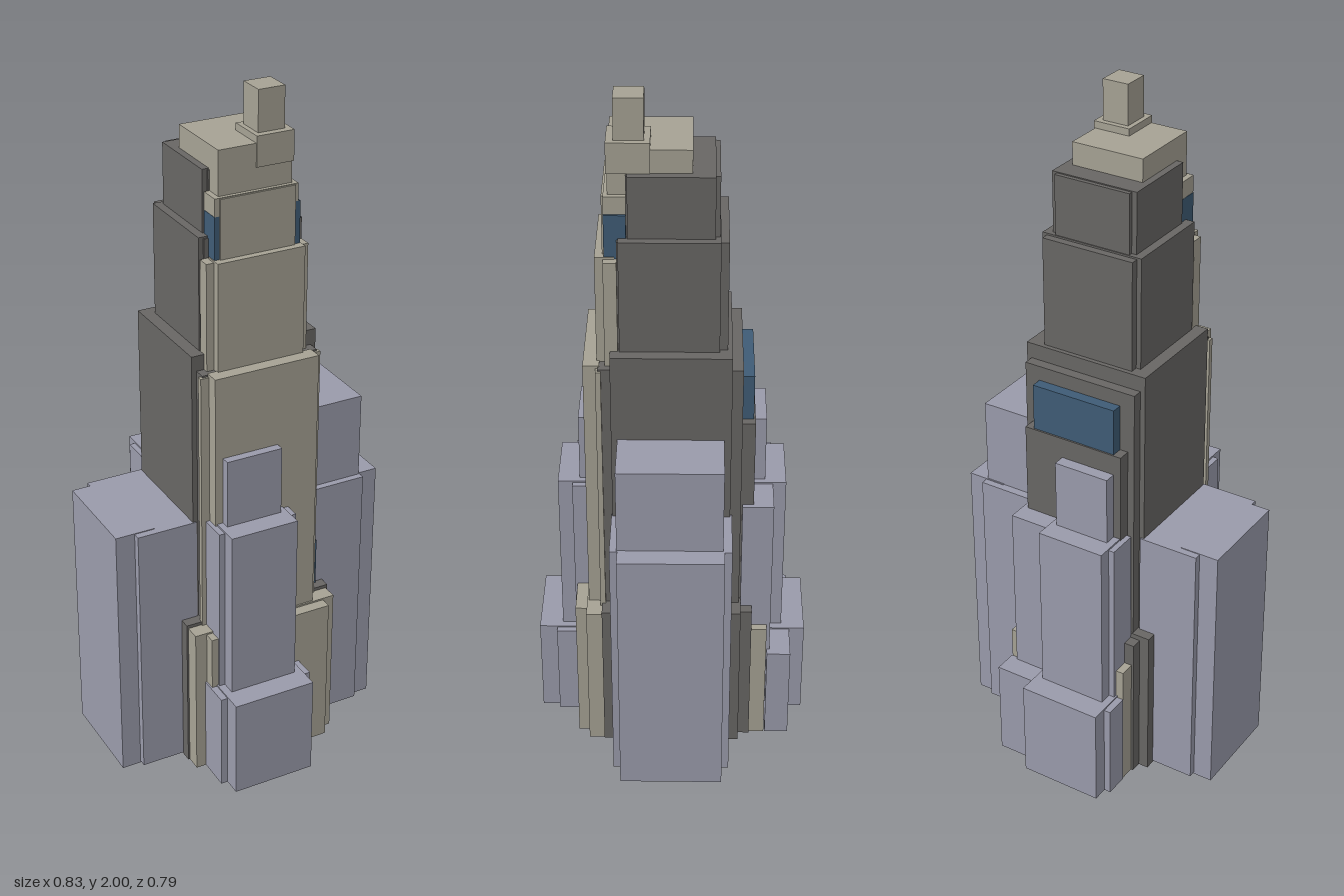
import * as THREE from 'three';

export function createModel() {
  const model = new THREE.Group();
  model.name = 'steppedTower';

  const mat = (name, color) => {
    const m = new THREE.MeshStandardMaterial({ color });
    m.name = name;
    return m;
  };
  const dark = mat('dark stone', 0x686664);
  const beige = mat('beige stone', 0xa6a294);
  const grey = mat('blue grey stone', 0x9a9bab);
  const blue = mat('window blue', 0x3f5c76);
  const brown = mat('brown base', 0x5e4040);

  // Block given by its extents: [x0, x1, y0, y1, z0, z1]
  function block(name, material, [x0, x1, y0, y1, z0, z1]) {
    const mesh = new THREE.Mesh(new THREE.BoxGeometry(x1 - x0, y1 - y0, z1 - z0), material);
    mesh.position.set((x0 + x1) / 2, (y0 + y1) / 2, (z0 + z1) / 2);
    mesh.name = name;
    model.add(mesh);
  }
  const blocks = (name, material, list) => list.forEach((b, i) => block(name + (i + 1), material, b));

  // Dark core: stepped tiers with notched corners
  blocks('coreTier', dark, [
    [-0.23, 0.23, 0, 0.475, -0.2, 0.2],
    [-0.2, 0.2, 0, 0.46, -0.233, 0.19],
    [-0.19, 0.19, 0.4, 1.3, -0.165, 0.165],
    [-0.175, 0.175, 0.4, 1.255, -0.195, 0.199],
    [-0.155, 0.155, 0.4, 1.075, -0.232, -0.19],
    [-0.154, 0.154, 1.2, 1.625, -0.13, 0.14],
    [-0.14, 0.14, 1.2, 1.62, -0.152, 0.144],
    [-0.13, 0.13, 1.6, 1.8, -0.115, 0.115],
    [-0.115, 0.115, 1.6, 1.797, -0.127, 0.119],
  ]);

  // Beige front facade, stepping back with height
  blocks('facade', beige, [
    [-0.225, 0.225, 0, 0.465, 0.2, 0.245],
    [-0.19, 0.19, 0, 0.46, 0.21, 0.278],
    [-0.183, 0.183, 0.4, 1.25, 0.19, 0.205],
    [-0.158, 0.158, 0.4, 1.258, 0.195, 0.24],
    [-0.152, 0.152, 1.2, 1.565, 0.144, 0.18],
    [-0.13, 0.13, 1.2, 1.57, 0.15, 0.203],
    [-0.126, 0.12, 1.69, 1.74, 0.119, 0.178],
    [-0.112, 0.11, 1.5, 1.738, 0.115, 0.183],
  ]);
  block('rearPlinth', beige, [-0.193, 0.193, 0, 0.39, -0.278, -0.2]);

  // Crown and offset finial
  block('crown', beige, [-0.11, 0.106, 1.72, 1.865, -0.055, 0.167]);
  block('finialBase', beige, [0, 0.11, 1.8, 1.885, 0.055, 0.17]);
  block('finial', beige, [0.014, 0.092, 1.87, 2, 0.071, 0.15]);

  // Side wings, mirrored, with a taller block on the left
  for (const s of [1, -1]) {
    const side = s > 0 ? 'left' : 'right';
    const wing = (name, material, a, b, ...rest) =>
      block(side + name, material, [Math.min(s * a, s * b), Math.max(s * a, s * b), ...rest]);
    wing('WingInner', grey, 0.18, 0.36, 0.005, 0.788, -0.17, 0.168);
    wing('WingOuter', grey, 0.3, 0.417, 0, 0.79, -0.149, 0.146);
    wing('WingBase', brown, 0.235, 0.299, 0, 0.0049, -0.12, 0.12);
  }
  block('leftWingTop', grey, [0.18, 0.357, 0.7, 1.043, -0.145, 0.148]);

  // Front stepped annex
  blocks('frontAnnex', grey, [
    [-0.195, 0.093, 0, 0.298, 0.23, 0.343],
    [-0.175, 0.074, 0, 0.302, 0.25, 0.395],
    [-0.17, 0.07, 0.1, 0.807, 0.2, 0.285],
    [-0.153, 0.052, 0.1, 0.812, 0.22, 0.327],
    [-0.135, 0.034, 0.6, 1.015, 0.2, 0.265],
  ]);

  // Rear stepped annex
  blocks('rearAnnex', grey, [
    [-0.195, 0.193, 0, 0.298, -0.35, -0.281],
    [-0.175, 0.074, 0, 0.302, -0.395, -0.25],
    [-0.17, 0.17, 0.1, 0.807, -0.289, -0.2],
    [-0.153, 0.052, 0.1, 0.812, -0.327, -0.22],
    [-0.133, 0.034, 0.6, 1.015, -0.267, -0.2],
  ]);

  // Glazed bands
  block('rearWindow', blue, [-0.13, 0.13, 1.075, 1.212, -0.227, -0.19]);
  block('upperWindow', blue, [-0.127, 0.127, 1.56, 1.69, 0.119, 0.178]);
  block('sideWindow', blue, [0.19, 0.205, 0.47, 0.62, 0.165, 0.175]);

  return model;
}
